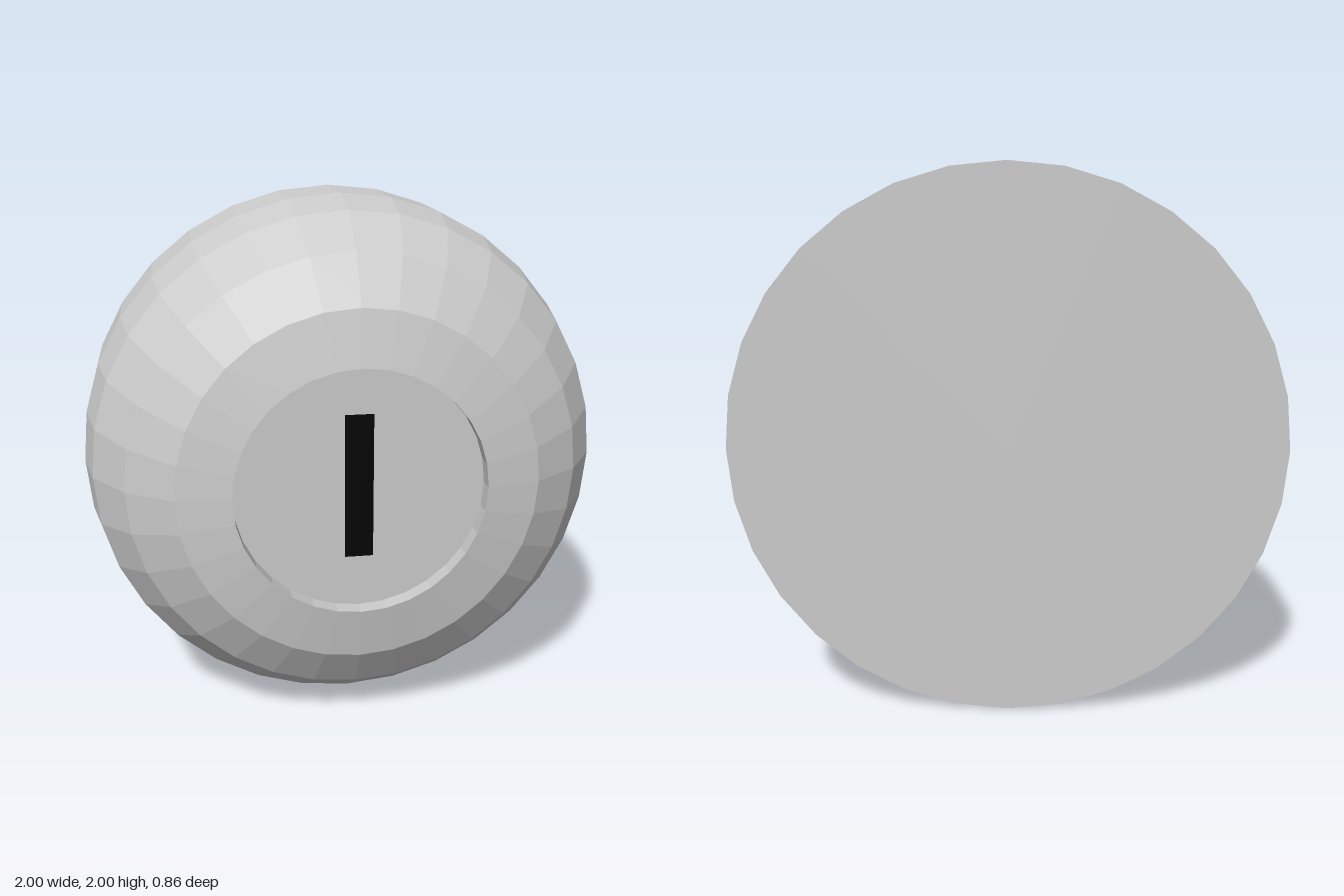
import * as THREE from 'three';

export function createModel() {
  const group = new THREE.Group();
  const material = new THREE.MeshStandardMaterial({ color: 0xcccccc, flatShading: true });

  // Domed body: [radius, z] from the flat back, over the dome, into the front recess
  const profile = [
    [0, -0.43], [1, -0.43], [1, -0.105], [0.96, 0.1], [0.84, 0.275], [0.665, 0.39],
    [0.463, 0.43], [0.463, 0.365], [0, 0.365],
  ].map(([r, z]) => new THREE.Vector2(r, z));
  const body = new THREE.Mesh(new THREE.LatheGeometry(profile, 32).rotateX(Math.PI / 2), material);
  body.name = 'domedBody';
  body.position.y = 1;
  group.add(body);

  // Dark keyhole slot, practically flush with the recess floor
  const slot = new THREE.Mesh(
    new THREE.BoxGeometry(0.104, 0.545, 0.02),
    new THREE.MeshStandardMaterial({ color: 0x050505 })
  );
  slot.name = 'keySlot';
  slot.position.set(-0.001, 1.007, 0.357);
  group.add(slot);

  return group;
}
